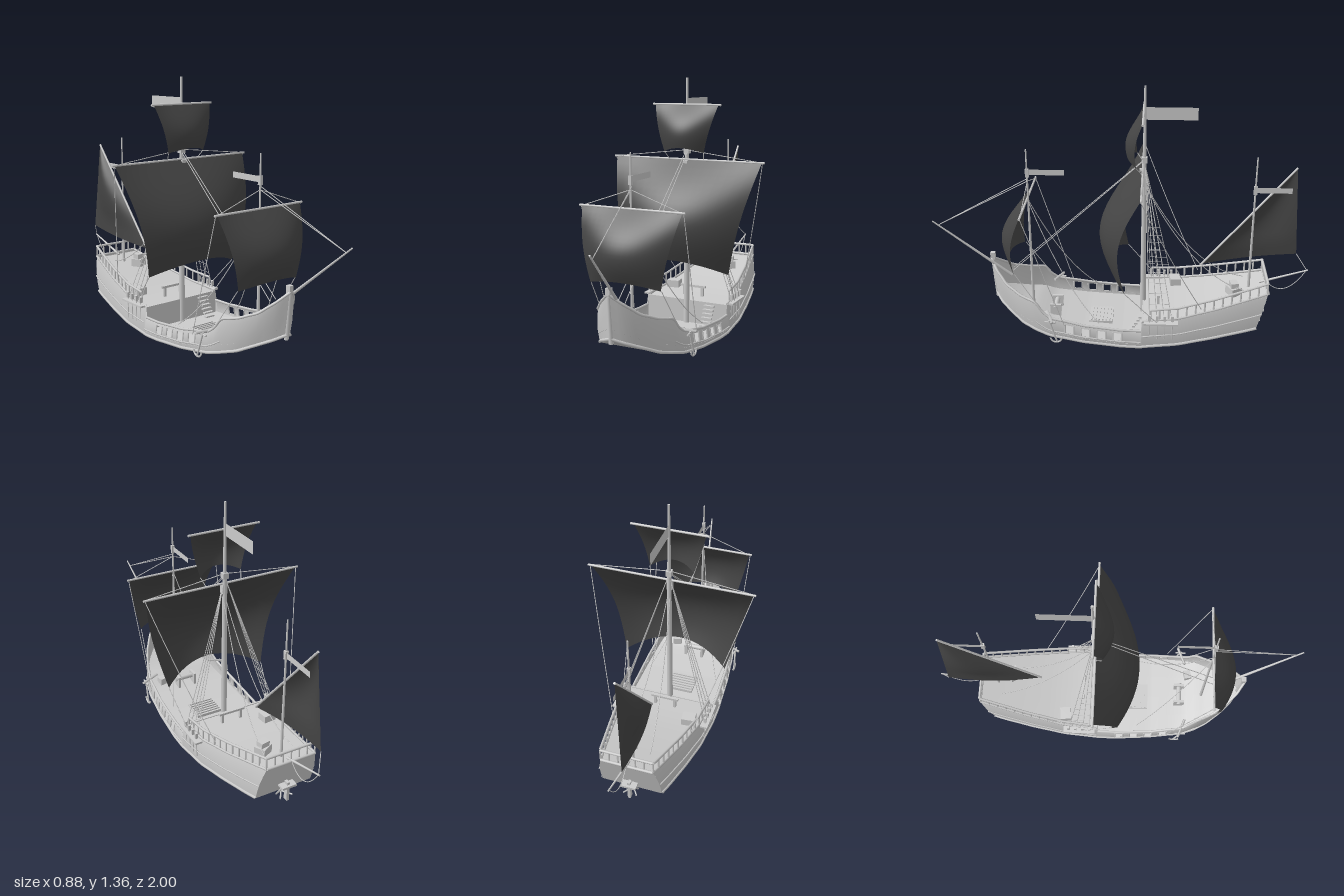
import * as THREE from 'three';

const V = (x, y, z) => new THREE.Vector3(x, y, z);
const lerp = THREE.MathUtils.lerp;
const grey = new THREE.MeshStandardMaterial({ color: 0xcccccc });
const sheet = new THREE.MeshStandardMaterial({ color: 0xcccccc, side: THREE.DoubleSide });
const cloth = new THREE.MeshStandardMaterial({ color: 0x444444, side: THREE.DoubleSide });

// Hull stations: top z, y, half width, then bottom z, y, half width
const STATIONS = [
  [0.72, 0.41, 0.004, 0.70, 0.19, 0.004], [0.68, 0.36, 0.06, 0.66, 0.165, 0.06],
  [0.62, 0.305, 0.115, 0.60, 0.135, 0.115], [0.54, 0.27, 0.165, 0.53, 0.10, 0.165],
  [0.46, 0.25, 0.20, 0.46, 0.08, 0.20], [0.42, 0.20, 0.21, 0.42, 0.07, 0.212],
  [0.38, 0.17, 0.22, 0.38, 0.06, 0.222], [0.20, 0.135, 0.237, 0.20, 0.035, 0.24],
  [0.0, 0.115, 0.242, 0.0, 0.02, 0.25], [-0.105, 0.112, 0.24, -0.105, 0.016, 0.248],
  [-0.11, 0.172, 0.238, -0.11, 0.016, 0.248], [-0.30, 0.185, 0.223, -0.30, 0.03, 0.235],
  [-0.50, 0.225, 0.19, -0.48, 0.055, 0.208], [-0.70, 0.275, 0.15, -0.65, 0.08, 0.175],
  [-0.775, 0.295, 0.135, -0.72, 0.09, 0.158],
];
const PORTS = [0.275, 0.19, 0.105, 0.02];
const PORT_HALF = 0.024;

function station(z) {
  let i = 0;
  while (i < STATIONS.length - 2 && STATIONS[i + 1][0] > z) i++;
  const a = STATIONS[i], b = STATIONS[i + 1];
  return a.map((n, k) => lerp(n, b[k], (a[0] - z) / (a[0] - b[0])));
}

// Point on the hull side; v runs from the bottom edge to the rail
function hullPoint(z, v, side) {
  const [zt, yt, wt, zb, yb, wb] = station(z);
  const bulge = 0.01 * Math.sin(Math.PI * v) * Math.min(1, wt / 0.1);
  return V(side * (lerp(wb, wt, v) + bulge), lerp(yb, yt, v), lerp(zb, zt, v));
}

// Surface through rows of points, with optional cells left open
function loft(rows, skip = () => false) {
  const n = rows[0].length, index = [];
  for (let i = 0; i < rows.length - 1; i++) for (let j = 0; j < n - 1; j++) {
    if (skip(i, j)) continue;
    const a = i * n + j, b = a + n;
    index.push(a, b, a + 1, b, b + 1, a + 1);
  }
  const g = new THREE.BufferGeometry().setFromPoints(rows.flat());
  g.setIndex(index);
  g.computeVertexNormals();
  return g;
}

export function createModel() {
  const ship = new THREE.Group();
  ship.name = 'sailingShip';
  const add = (name, geo, mat = grey, pos) => {
    const m = new THREE.Mesh(geo, mat);
    m.name = name;
    if (pos) m.position.copy(pos);
    ship.add(m);
    return m;
  };
  const box = (name, w, h, d, x, y, z, turn = 0) => {
    const m = add(name, new THREE.BoxGeometry(w, h, d), grey, V(x, y, z));
    m.rotation.y = turn;
    return m;
  };
  const rod = (name, a, b, r0, r1 = r0, sides = 8) => {
    const d = b.clone().sub(a);
    const m = add(name, new THREE.CylinderGeometry(r1, r0, d.length(), sides), grey, a.clone().add(b).multiplyScalar(0.5));
    m.quaternion.setFromUnitVectors(V(0, 1, 0), d.normalize());
    return m;
  };
  const rope = (a, b, sag = 0, r = 0.0022) => {
    if (!sag) return rod('rope', a, b, r, r, 5);
    const mid = a.clone().add(b).multiplyScalar(0.5);
    mid.y -= sag * 2;
    return add('rope', new THREE.TubeGeometry(new THREE.QuadraticBezierCurve3(a, mid, b), 14, r, 5));
  };
  const trim = (name, pts, r) =>
    add(name, new THREE.TubeGeometry(new THREE.CatmullRomCurve3(pts, false, 'centripetal'), pts.length * 4, r, 6));
  const both = (f) => [-1, 1].forEach(f);

  // Hull sides with open gun ports
  const zs = [...STATIONS.map((s) => s[0]), ...PORTS.flatMap((p) => [p + PORT_HALF, p - PORT_HALF]),
    0.70, 0.65, 0.58, 0.5, -0.2, -0.4, -0.6].sort((a, b) => b - a);
  const levels = [0, 0.4, 0.82, 1];
  both((s) => {
    const isPort = (i, j) => j === 1 && PORTS.some((p) => Math.abs((zs[i] + zs[i + 1]) / 2 - p) < PORT_HALF);
    add('hullSide', loft(zs.map((z) => levels.map((v) => hullPoint(z, v, s))), isPort), sheet);
    const along = (list, v, out = 0) => list.map((z) => hullPoint(z, v, s).add(V(s * out, 0, 0)));
    trim('gunwale', along(zs.filter((z) => z > -0.107), 1), 0.007);
    trim('aftGunwale', along(zs.filter((z) => z < -0.107), 1), 0.007);
    trim('lowerWale', along(zs, 0.02), 0.008);
    trim('midWale', along(zs.filter((z) => z < 0.47 && z > -0.107), 0.36, 0.003), 0.004);
    trim('aftWale', along(zs.filter((z) => z < -0.107), 0.45, 0.003), 0.004);
    // Gun port frames
    for (const p of PORTS) for (const e of [-1, 1]) {
      const z = p + e * PORT_HALF;
      rod('portFrame', hullPoint(z, 0.36, s), hullPoint(z, 0.85, s), 0.005, 0.005, 4);
    }
  });

  // Bottom, decks, transom and bulkhead
  const across = (f) => (z) => [-1, -0.5, 0, 0.5, 1].map((t) => {
    const p = f(z);
    return V(p.x * t, p.y, p.z);
  });
  add('hullBottom', loft(zs.map(across((z) => hullPoint(z, 0, 1)))), sheet);
  add('mainDeck', loft(zs.filter((z) => z > -0.12).map(across((z) => hullPoint(z, z > -0.107 ? 0.25 : 0.16, 1)))), sheet);
  add('aftDeck', loft(zs.filter((z) => z < -0.107).map(across((z) => hullPoint(z, 0.94, 1)))), sheet);
  add('transom', loft([0, 0.25, 0.5, 0.75, 1].map((v) => across(() => {
    const p = hullPoint(-0.775, v, 1);
    return p;
  })())), sheet);
  box('bulkhead', 0.48, 0.135, 0.01, 0, 0.1, -0.113);
  rod('stemPost', V(0, 0.17, 0.695), V(0, 0.44, 0.715), 0.012, 0.009, 6);
  box('stemHead', 0.025, 0.04, 0.025, 0, 0.42, 0.71);

  // Aft railing
  const railTop = (z, s) => hullPoint(z, 1, s).add(V(0, 0.062, 0));
  both((s) => {
    const posts = Array.from({ length: 14 }, (_, i) => lerp(-0.155, -0.77, i / 13));
    posts.forEach((z) => rod('railPost', hullPoint(z, 1, s), railTop(z, s), 0.005, 0.005, 4));
    trim('handRail', posts.map((z) => railTop(z, s)), 0.007);
  });
  rod('sternRail', railTop(-0.77, -1), railTop(-0.77, 1), 0.007);
  rod('sternSill', hullPoint(-0.775, 1, -1), hullPoint(-0.775, 1, 1), 0.008);
  for (let i = 1; i < 6; i++) {
    const x = lerp(-0.135, 0.135, i / 6);
    rod('sternPost', V(x, 0.295, -0.772), V(x, 0.355, -0.77), 0.005, 0.005, 4);
  }

  // Rudder and stern brackets
  box('rudder', 0.015, 0.11, 0.025, 0, 0.1, -0.75);
  box('rudderHead', 0.08, 0.012, 0.09, 0, 0.135, -0.73);
  both((s) => {
    rod('rudderBrace', V(s * 0.03, 0.135, -0.76), V(s * 0.02, 0.04, -0.69), 0.005);
    rod('rudderArm', V(s * 0.035, 0.06, -0.75), V(0, 0.06, -0.7), 0.004);
  });

  // Masts and spars
  rod('mainMast', V(0, 0.03, -0.11), V(0, 1.0, -0.11), 0.017, 0.011, 12);
  rod('mainTopmast', V(0, 0.98, -0.11), V(0, 1.375, -0.11), 0.01, 0.006, 10);
  rod('foreMast', V(0, 0.1, 0.5), V(0, 1.035, 0.5), 0.009, 0.004, 10);
  rod('mizzenMast', V(0, 0.24, -0.685), V(0, 1.01, -0.685), 0.008, 0.004, 10);
  rod('bowsprit', V(0.015, 0.31, 0.61), V(0.086, 0.66, 0.997), 0.009, 0.004);
  rod('sternBoom', V(0, 0.29, -0.74), V(0, 0.37, -0.998), 0.007, 0.004);
  box('mastBlock', 0.026, 0.05, 0.03, 0, 0.915, -0.1);
  box('mastCap', 0.03, 0.03, 0.03, 0, 0.99, -0.11);
  box('foreBlock', 0.016, 0.045, 0.018, 0, 0.905, 0.5);
  box('mizzenBlock', 0.016, 0.045, 0.018, 0, 0.83, -0.685);
  const pennant = (z, y, len, h) => add('pennant', new THREE.PlaneGeometry(len, h).rotateY(Math.PI / 2), sheet, V(0, y, z - len / 2));
  pennant(-0.115, 1.235, 0.26, 0.065);
  pennant(0.5, 0.91, 0.195, 0.03);
  pennant(-0.685, 0.83, 0.19, 0.03);

  // Square sails, each with its yard
  const squareSail = (name, zT, yT, yB, wT, wB, arch, zB, pull, edge, belly) => {
    const rows = [];
    for (let i = 0; i <= 16; i++) {
      const v = i / 16, row = [];
      for (let j = 0; j <= 16; j++) {
        const u = j / 8 - 1, c = 1 - u * u;
        row.push(V(u * lerp(wT, wB, v), lerp(yT, yB, v) + arch * v * v * c,
          zT + zB * v + pull * v * c + Math.sin(Math.PI * v) * lerp(edge, belly, c)));
      }
      rows.push(row);
    }
    add(name, loft(rows), cloth);
    rod(name + 'Yard', V(-wT - 0.015, yT + 0.004, zT - 0.003), V(wT + 0.015, yT + 0.004, zT - 0.003), 0.006);
  };
  squareSail('mainSail', -0.1, 0.94, 0.36, 0.425, 0.283, 0.07, 0.08, 0.1, 0.07, 0.12);
  squareSail('topSail', -0.1, 1.23, 0.985, 0.182, 0.115, 0.025, 0.03, 0.05, 0.02, 0.04);
  squareSail('foreSail', 0.505, 0.765, 0.41, 0.268, 0.19, 0.03, 0.06, 0.05, 0.03, 0.08);

  // Triangular mizzen sail on its slanted yard
  const peak = V(-0.02, 0.95, -0.895), tack = V(-0.01, 0.39, -0.425), clew = V(-0.045, 0.445, -0.935);
  const lateen = [];
  for (let i = 0; i <= 12; i++) {
    const v = i / 12, row = [];
    for (let j = 0; j <= 12; j++) {
      const t = j / 12, p = peak.clone().lerp(tack, v).lerp(peak.clone().lerp(clew, v), t);
      p.x -= 0.045 * Math.sin(Math.PI * t) * Math.sin(Math.PI * Math.min(v, 0.85));
      row.push(p);
    }
    lateen.push(row);
  }
  add('mizzenSail', loft(lateen), cloth);
  rod('mizzenYard', tack, peak, 0.006);

  // Stays
  const tip = V(0.08, 0.635, 0.97);
  both((s) => {
    rope(V(s * 0.006, 0.98, -0.1), V(s * 0.02, 0.34, 0.6));
    rope(V(s * 0.006, 0.86, -0.11), V(s * 0.08, 0.28, -0.66), 0.12);
    rope(V(s * 0.005, 0.75, 0.5), V(s * 0.2, 0.13, 0.12), 0.08);
    // Yard lifts, braces and sheets
    rope(V(s * 0.43, 0.945, -0.1), V(0, 0.995, -0.1));
    rope(V(s * 0.43, 0.94, -0.1), V(s * 0.215, 0.24, -0.42), 0.02);
    rope(V(s * 0.275, 0.765, 0.5), V(0, 0.86, 0.5));
    rope(V(s * 0.275, 0.765, 0.5), V(s * 0.25, 0.14, 0.3));
    rope(V(s * 0.283, 0.36, -0.02), V(s * 0.25, 0.16, -0.2));
    rope(V(s * 0.115, 0.985, -0.07), V(s * 0.1, 0.945, -0.1));
    rope(V(s * 0.19, 0.41, 0.56), V(s * 0.21, 0.2, 0.42));
    // Shrouds with ratlines, channel and deadeyes
    const feet = [-0.15, -0.19, -0.23, -0.27].map((z) => V(s * 0.25, 0.175, z));
    const head = V(s * 0.01, 0.95, -0.115);
    feet.forEach((f) => {
      rope(head, f);
      box('deadeye', 0.014, 0.03, 0.014, f.x, f.y + 0.025, f.z);
      rod('chainPlate', f, V(s * 0.247, 0.07, f.z), 0.003, 0.003, 4);
    });
    for (let t = 0.12; t < 0.5; t += 0.07) rope(feet[0].clone().lerp(head, t), feet[3].clone().lerp(head, t), 0, 0.0014);
    box('channel', 0.04, 0.01, 0.18, s * 0.25, 0.17, -0.21);
    // Anchors and bow timbers
    rod('anchorShank', V(s * 0.25, 0.17, 0.38), V(s * 0.255, 0.04, 0.34), 0.005);
    rod('anchorStock', V(s * 0.25, 0.16, 0.345), V(s * 0.25, 0.16, 0.405), 0.005);
    const arms = add('anchorArms', new THREE.TorusGeometry(0.03, 0.005, 5, 10, Math.PI), grey, V(s * 0.255, 0.07, 0.345));
    arms.rotation.set(Math.PI, Math.PI / 2, 0);
    rod('catHead', V(s * 0.17, 0.18, 0.4), V(s * 0.275, 0.17, 0.36), 0.008, 0.008, 4);
  });
  rope(V(0, 0.86, 0.5), tip);
  rope(V(0.005, 0.875, 0.5), tip);
  rope(clew, V(0, 0.37, -0.99));
  rope(V(0, 0.37, -0.99), V(0, 0.3, -0.775), 0.08);

  // Deck fittings
  box('hatchFrame', 0.15, 0.025, 0.13, 0, 0.052, 0.12);
  for (let i = 0; i < 6; i++) box('hatchBar', 0.14, 0.008, 0.008, 0, 0.068, 0.07 + i * 0.02);
  rod('windlass', V(-0.065, 0.13, 0.37), V(0.065, 0.13, 0.37), 0.014);
  both((s) => {
    box('windlassPost', 0.015, 0.07, 0.06, s * 0.05, 0.115, 0.37);
    box('bitt', 0.014, 0.06, 0.014, s * 0.055, 0.2, -0.195);
  });
  box('bittRail', 0.15, 0.012, 0.016, 0, 0.225, -0.195);
  box('crate', 0.05, 0.04, 0.04, 0.125, 0.115, 0.42, 0.2);
  box('aftCrate', 0.07, 0.04, 0.06, -0.165, 0.2, -0.29, 0.1);
  box('chest', 0.07, 0.045, 0.06, 0.05, 0.265, -0.6, 0.5);
  box('chestLid', 0.05, 0.03, 0.04, 0.05, 0.3, -0.6, 0.2);
  // Ladder from the main deck to the aft deck
  for (let i = 0; i < 6; i++) box('ladderStep', 0.06, 0.008, 0.018, 0.14, 0.055 + i * 0.019, -0.04 - i * 0.012);
  return ship;
}
